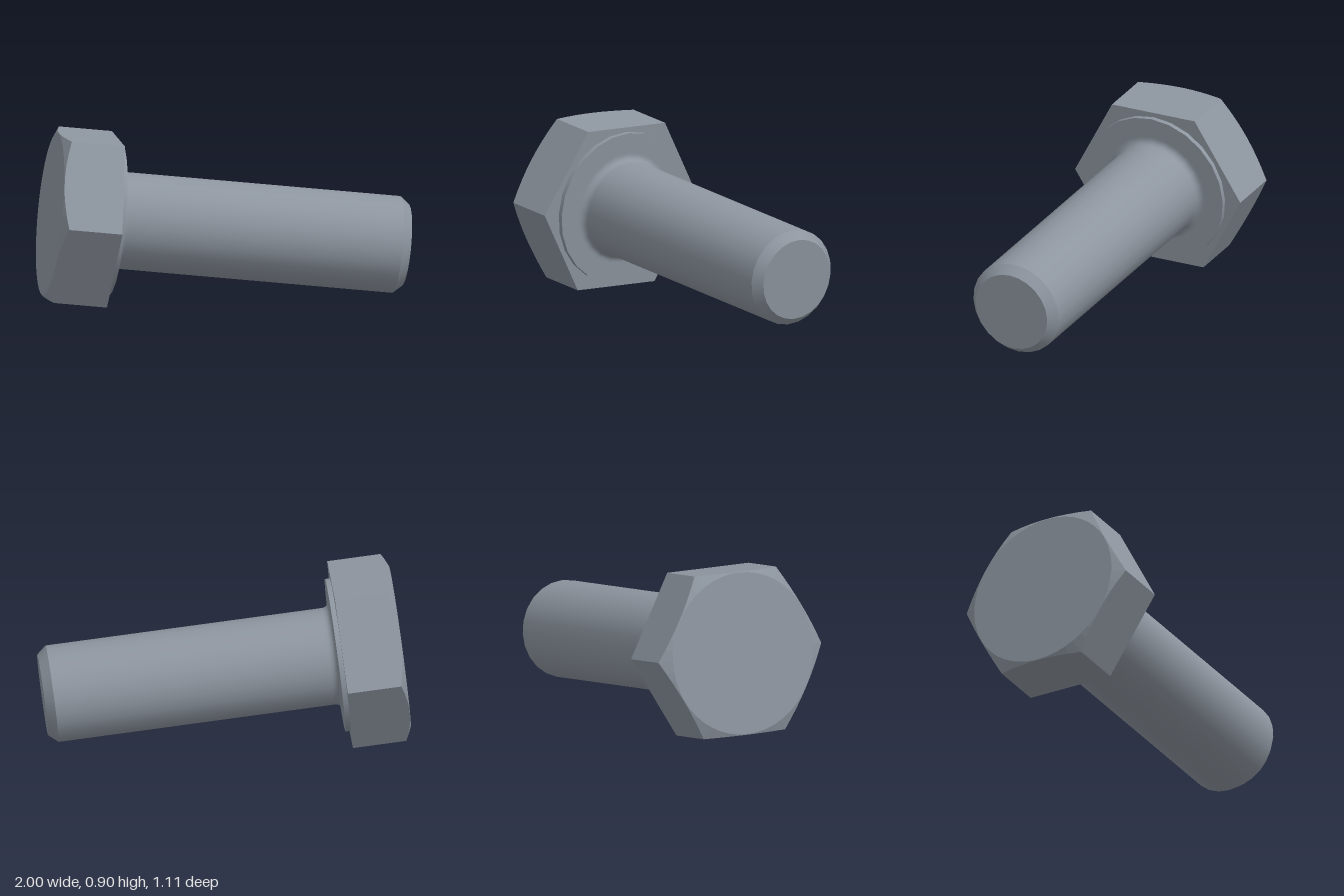
import * as THREE from 'three';

const SIDES = 24;            // facets round the shank
const APOTHEM = 0.433;       // hex head, centre to flat
const HEAD = 0.318;          // head height
const TIP = 1.585;           // bearing plane to tip
const CHAMFER = 0.48;        // slope of the head chamfer

// Hexagonal head: flat sides cut by a chamfer cone that meets a round end face
function hexHeadGeometry() {
  const pos = [];
  const tri = (...p) => p.forEach((v) => pos.push(...v));
  const steps = 8;
  const at = (a, r, y) => [Math.cos(a) * r, y, Math.sin(a) * r];
  const top = [0, 0, 0], bottom = [0, -HEAD, 0];
  const ring = (i) => {
    const a = (i / (6 * steps)) * Math.PI * 2;
    const local = ((i % steps) / steps - 0.5) * (Math.PI / 3);
    const r = APOTHEM / Math.cos(local);
    return {
      front: at(a, r, 0),
      arc: at(a, r, -HEAD + (r - APOTHEM + 0.003) * CHAMFER),
      disc: at(a, APOTHEM - 0.003, -HEAD),
    };
  };
  for (let i = 0; i < 6 * steps; i++) {
    const a = ring(i), b = ring(i + 1);
    tri(top, b.front, a.front);                                // bearing face
    tri(a.arc, a.front, b.front, a.arc, b.front, b.arc);       // flats
    tri(a.disc, a.arc, b.arc, a.disc, b.arc, b.disc);          // chamfer
    tri(bottom, a.disc, b.disc);                               // end face
  }
  const g = new THREE.BufferGeometry();
  g.setAttribute('position', new THREE.Float32BufferAttribute(pos, 3));
  g.computeVertexNormals();
  return g;
}

export function createModel() {
  const steel = new THREE.MeshStandardMaterial({ color: 0x8d959f });
  steel.name = 'steel';

  const bolt = new THREE.Group();
  bolt.name = 'bolt';
  const add = (name, geometry) => {
    const m = new THREE.Mesh(geometry, steel);
    m.name = name;
    bolt.add(m);
  };
  const lathe = (name, points) => add(name,
    new THREE.LatheGeometry(points.map(([r, y]) => new THREE.Vector2(r, y)), SIDES));

  add('hexHead', hexHeadGeometry());

  // Washer face under the head
  const w = 0.026, R = 0.258, f = 0.035;
  lathe('washerRim', [[0.408, 0], [0.408, w]]);

  // Washer face blending through a fillet into the shank
  const profile = [[0.408, w], [R + f + 0.01, w]];
  for (let i = 0; i <= 5; i++) {
    const a = (i / 5) * Math.PI / 2;
    profile.push([R + f - f * Math.sin(a), w + f - f * Math.cos(a)]);
  }
  profile.push([R, w + f + 0.01], [R, TIP - 0.05]);
  lathe('shank', profile);

  // Chamfered tip
  lathe('tipChamfer', [[R, TIP - 0.05], [0.216, TIP]]);
  lathe('tipFace', [[0.216, TIP], [0, TIP]]);

  // Lay the bolt down: local y runs along the shank, local x to a hex corner
  const along = new THREE.Vector3(0.9727, -0.11, 0.2043).normalize();
  const corner = new THREE.Vector3(-along.z, 0, along.x).normalize();
  const up = new THREE.Vector3().crossVectors(corner, along);
  bolt.quaternion.setFromRotationMatrix(new THREE.Matrix4().makeBasis(corner, along, up));
  bolt.position.set(-0.592, 0.43, -0.007);

  const model = new THREE.Group();
  model.name = 'hexBolt';
  model.add(bolt);
  return model;
}
